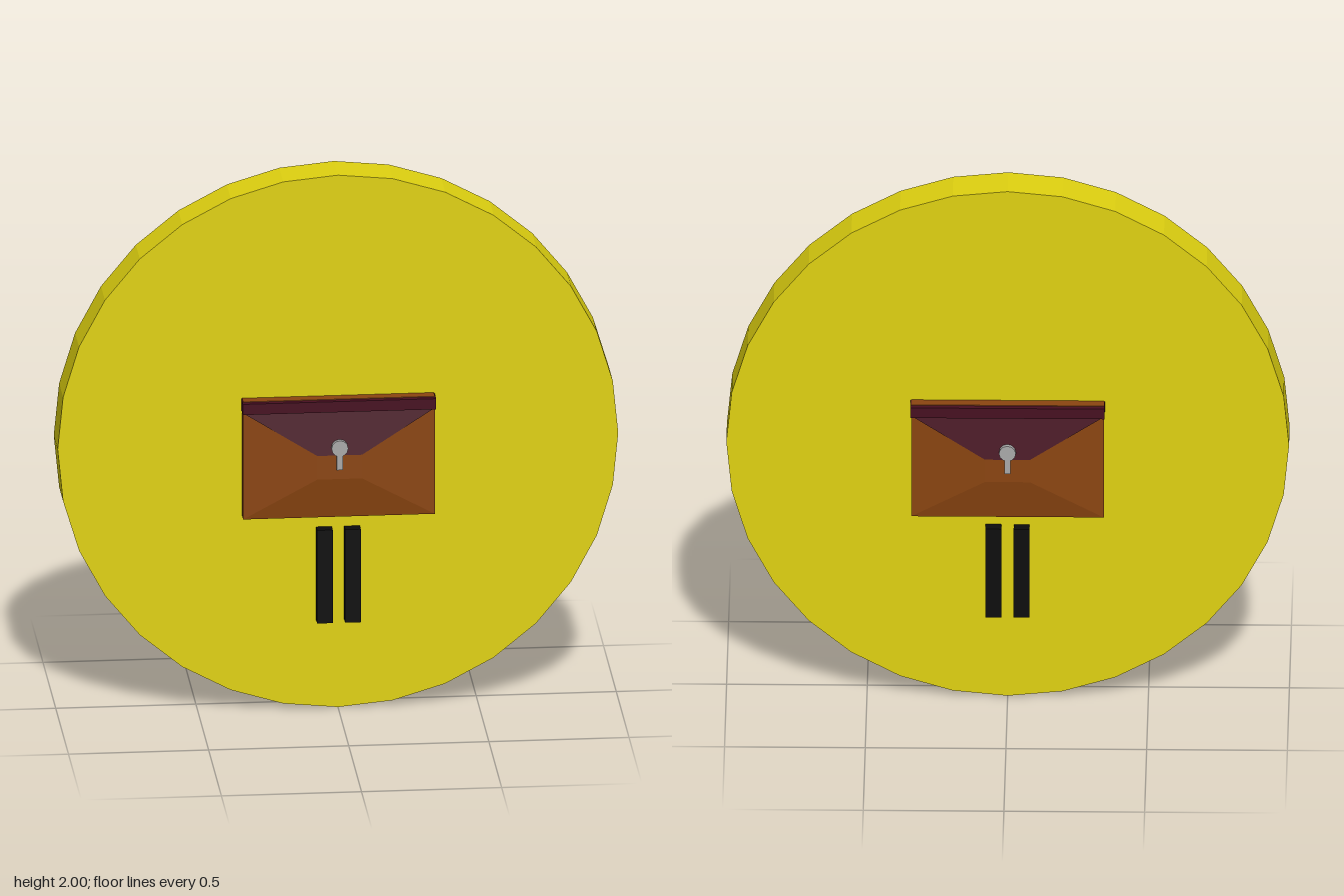
import * as THREE from 'three';

const paint = (color) => new THREE.MeshStandardMaterial({ color, flatShading: true });

function add(parent, name, geometry, material, x = 0, y = 0, z = 0) {
  const mesh = new THREE.Mesh(geometry, material);
  mesh.name = name;
  mesh.position.set(x, y, z);
  parent.add(mesh);
  return mesh;
}

// Joins four-cornered rings, ordered back to front and counter-clockwise
// as seen from +z, and closes the last ring with a flat cap.
function loft(rings) {
  const pos = [];
  const quad = (a, b, c, d) => pos.push(...a, ...b, ...c, ...a, ...c, ...d);
  for (let r = 0; r < rings.length - 1; r++) {
    for (let i = 0; i < 4; i++) {
      const j = (i + 1) % 4;
      quad(rings[r][i], rings[r][j], rings[r + 1][j], rings[r + 1][i]);
    }
  }
  quad(...rings[rings.length - 1]);
  const g = new THREE.BufferGeometry();
  g.setAttribute('position', new THREE.Float32BufferAttribute(pos, 3));
  g.computeVertexNormals();
  return g;
}

const rect = (w, y0, y1, z) => [[-w, y0, z], [w, y0, z], [w, y1, z], [-w, y1, z]];

export function createModel() {
  const model = new THREE.Group();
  model.name = 'discWithBriefcases';

  const yellow = paint(0xe0d210);
  const brown = paint(0x8b4510);
  const maroon = paint(0x470e20);
  const black = paint(0x0c0c0c);
  const metal = paint(0xaaaaaa);

  // Upright disc
  const disc = new THREE.CylinderGeometry(1, 1, 0.154, 32).rotateX(Math.PI / 2);
  add(model, 'disc', disc, yellow, 0, 1, 0);

  // The same relief stands on both faces of the disc
  for (const [name, turn] of [['frontRelief', 0], ['backRelief', Math.PI]]) {
    const relief = new THREE.Group();
    relief.name = name;
    relief.rotation.y = turn;
    model.add(relief);

    // Case body with a raised, hipped front
    add(relief, 'caseBody', loft([
      rect(0.342, 0.73, 1.172, 0.07),
      rect(0.342, 0.73, 1.172, 0.118),
      rect(0.08, 0.88, 0.97, 0.143),
    ]), brown);

    // Rim along the top of the case
    add(relief, 'flapRim', new THREE.BoxGeometry(0.69, 0.04, 0.067), maroon, 0, 1.15, 0.1055);

    // Tapered flap lying on the upper slope
    const flap = (z) => [
      [-0.08, 0.97, 0.143 + z], [0.08, 0.97, 0.143 + z],
      [0.344, 1.132, 0.121 + z], [-0.344, 1.132, 0.121 + z],
    ];
    add(relief, 'flap', loft([flap(-0.006), flap(0.003)]), maroon);

    // Clasp: round button with a short tongue
    const button = new THREE.CylinderGeometry(0.03, 0.03, 0.016, 12).rotateX(Math.PI / 2);
    add(relief, 'claspButton', button, metal, 0, 0.998, 0.147);
    add(relief, 'claspTongue', new THREE.BoxGeometry(0.022, 0.07, 0.014), metal, 0, 0.952, 0.147);

    // Pair of upright bars below the case
    for (const side of [-1, 1]) {
      add(relief, side > 0 ? 'leftBar' : 'rightBar',
        new THREE.BoxGeometry(0.056, 0.35, 0.047), black, side * 0.05, 0.505, 0.0935);
    }
  }
  return model;
}
